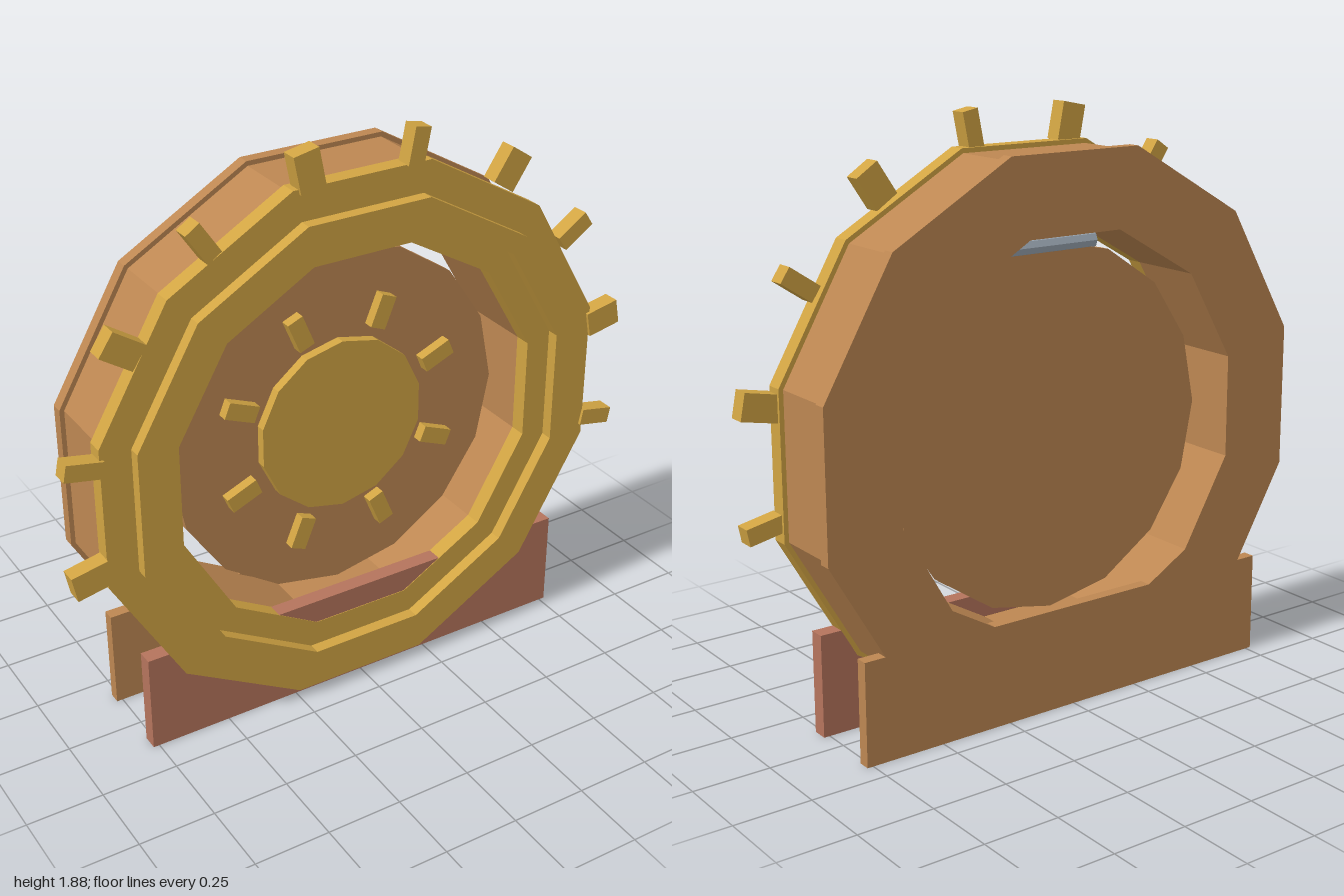
import * as THREE from 'three';

const CY = 0.885; // height of the wheel axis

export function createModel() {
  const model = new THREE.Group();
  model.name = 'roundVaultDoor';
  const mat = (name, color) => {
    const m = new THREE.MeshStandardMaterial({ color, flatShading: true });
    m.name = name;
    return m;
  };
  const gold = mat('gold', 0xd1a443);
  const copper = mat('copper', 0xbd8752);
  const red = mat('rust red', 0xb5745c);
  const steel = mat('steel', 0x9aa6b2);

  const add = (name, geometry, material, x = 0, y = CY, z = 0) => {
    const mesh = new THREE.Mesh(geometry, material);
    mesh.name = name;
    mesh.position.set(x, y, z);
    model.add(mesh);
    return mesh;
  };

  // Twelve corners with flat sides up, down, left and right
  const corners = (apothem) => Array.from({ length: 12 }, (_, i) => {
    const a = (i + 0.5) * Math.PI / 6, r = apothem / Math.cos(Math.PI / 12);
    return new THREE.Vector2(r * Math.cos(a), r * Math.sin(a));
  });
  const ring = (name, outer, inner, z0, z1, material) => {
    const shape = new THREE.Shape(corners(outer));
    shape.holes.push(new THREE.Path(corners(inner)));
    const g = new THREE.ExtrudeGeometry(shape, { depth: z1 - z0, bevelEnabled: false });
    return add(name, g, material, 0, CY, z0);
  };
  const disc = (name, r, sides, z0, z1, material) => {
    const g = new THREE.CylinderGeometry(r, r, z1 - z0, sides).rotateX(Math.PI / 2);
    return add(name, g, material, 0, CY, (z0 + z1) / 2);
  };
  // Box placed on a circle around the axis, its length pointing outward
  const radialBox = (name, angle, r, length, width, z0, z1, material) => {
    const g = new THREE.BoxGeometry(length, width, z1 - z0);
    const m = add(name, g, material, r * Math.cos(angle), CY + r * Math.sin(angle), (z0 + z1) / 2);
    m.rotation.z = angle;
  };

  // Frame: back flange, barrel, front rim and its raised band
  ring('backFlange', 0.88, 0.63, -0.175, -0.135, copper);
  ring('barrel', 0.865, 0.63, -0.135, 0.08, copper);
  ring('frontRim', 0.88, 0.63, 0.08, 0.135, gold);
  ring('raisedBand', 0.78, 0.715, 0.135, 0.175, gold);

  // Base plates
  add('backBase', new THREE.BoxGeometry(1.54, 0.335, 0.04), copper, 0, 0.1675, -0.155);
  add('frontBase', new THREE.BoxGeometry(1.54, 0.335, 0.052), red, 0, 0.1675, 0.107);

  // Teeth around the rim, alternately narrow and wide
  for (let k = -1; k <= 8; k++) {
    const angle = (k + 0.5) * Math.PI / 8;
    const wide = k % 2 === 0;
    radialBox('rimTooth', angle, 0.95, 0.12, wide ? 0.085 : 0.055, 0.09, 0.145, gold);
  }

  // Door with hub and bolts
  disc('door', 0.592, 16, -0.047, -0.013, copper);
  disc('hub', 0.295, 14, -0.013, 0.02, gold);
  for (let k = 0; k < 8; k++) {
    radialBox('doorBolt', (k + 0.5) * Math.PI / 4, 0.387, 0.11, 0.055, -0.015, 0.022, gold);
  }

  // Hinge rod along the top of the door
  const rod = new THREE.CylinderGeometry(0.028, 0.028, 0.35, 8).rotateZ(Math.PI / 2);
  add('hingeRod', rod, steel, 0, 1.467, -0.03);

  return model;
}
